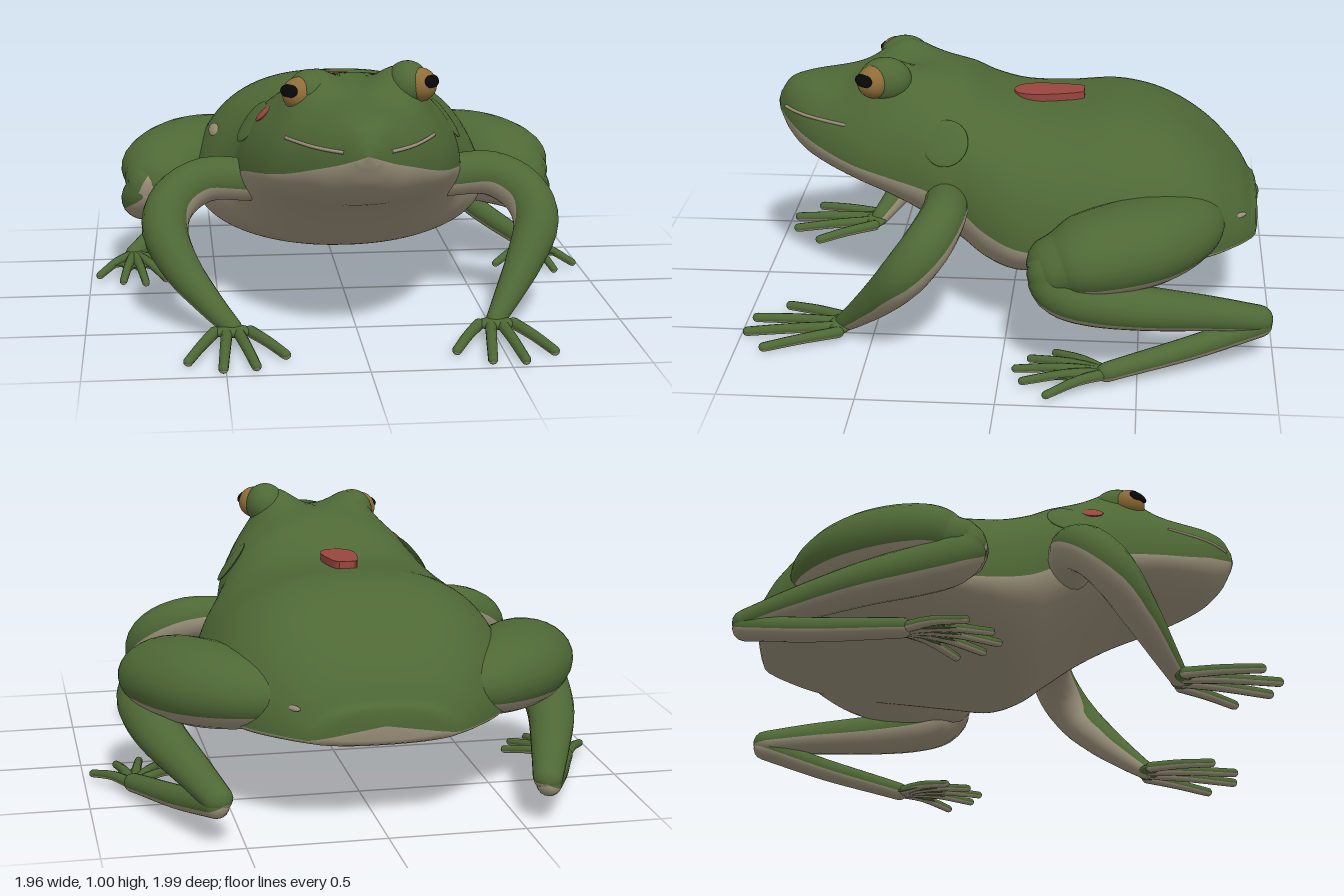
import * as THREE from 'three';

const mat = (name, color) => Object.assign(new THREE.MeshStandardMaterial({ color }), { name });
const green = mat('skin green', 0x4e6835);
const cream = mat('belly cream', 0x9c927b);
const red = mat('marking red', 0x98463d);
const gold = mat('iris gold', 0x8f6d38);
const black = mat('pupil black', 0x080808);
const V = (x, y, z) => new THREE.Vector3(x, y, z);
const curve = pts => new THREE.CatmullRomCurve3(pts, false, 'catmullrom', 0.5);

// Skin over closed rings; isCream(j) picks the colour of each column of faces
function loft(name, rings, isCream) {
  const n = rings[0].length, parts = [[], []];
  for (let i = 0; i < rings.length - 1; i++) {
    for (let j = 0; j < n; j++) {
      const k = (j + 1) % n, a = i * n + j, b = i * n + k, c = a + n, d = b + n;
      parts[isCream(j) ? 1 : 0].push(a, b, c, b, d, c);
    }
  }
  const g = new THREE.BufferGeometry().setFromPoints(rings.flat());
  g.setIndex([...parts[0], ...parts[1]]);
  g.addGroup(0, parts[0].length, 0);
  g.addGroup(parts[0].length, parts[1].length, 1);
  g.computeVertexNormals();
  const m = new THREE.Mesh(g, [green, cream]);
  m.name = name;
  return m;
}

// Tapered round-ended limb through [x, y, z, radius]; its cream side faces dir
function limb(name, pts, side, dir, { flat = 1, edge = 0.1, n = 20, steps = 24 } = {}) {
  const path = curve(pts.map(p => V(p[0] * side, p[1], p[2])));
  const radius = curve(pts.map(p => V(p[3], 0, 0)));
  const rings = [], down = V(dir[0] * side, dir[1], dir[2]);
  const ring = (t, cap) => {
    const T = path.getTangent(t), r = radius.getPoint(t).x;
    const d = down.clone().addScaledVector(T, -T.dot(down)).normalize();
    const s = T.clone().cross(d);
    const c = path.getPoint(t).addScaledVector(T, r * flat * Math.sin(cap)), q = r * Math.cos(cap);
    rings.push(Array.from({ length: n }, (_, j) => {
      const a = j / n * Math.PI * 2;
      return c.clone().addScaledVector(d, q * flat * Math.cos(a)).addScaledVector(s, q * Math.sin(a));
    }));
  };
  for (let k = 4; k > 0; k--) ring(0, -k / 4 * Math.PI / 2);
  for (let i = 0; i <= steps; i++) ring(i / steps, 0);
  for (let k = 1; k <= 4; k++) ring(1, k / 4 * Math.PI / 2);
  return loft(name, rings, j => Math.cos((j + 0.5) / n * Math.PI * 2) > edge);
}

function blob(name, material, pos, scale, facing) {
  const m = new THREE.Mesh(new THREE.SphereGeometry(1, 28, 18), material);
  m.name = name;
  m.position.copy(pos);
  m.scale.set(...scale);
  if (facing) m.lookAt(pos.clone().add(facing));
  return m;
}

// Body sections: z, half width, back height, colour line, belly height
const sections = [
  [0.91, 0.04, 0.79, 0.735, 0.71], [0.87, 0.1, 0.845, 0.71, 0.635], [0.8, 0.18, 0.868, 0.68, 0.57],
  [0.7, 0.255, 0.882, 0.645, 0.525], [0.58, 0.325, 0.895, 0.615, 0.485], [0.44, 0.375, 0.91, 0.59, 0.43],
  [0.3, 0.415, 0.925, 0.56, 0.35], [0.18, 0.44, 0.905, 0.5, 0.265], [0.08, 0.495, 0.85, 0.435, 0.205],
  [-0.04, 0.55, 0.805, 0.395, 0.182], [-0.2, 0.575, 0.798, 0.385, 0.215], [-0.4, 0.575, 0.812, 0.38, 0.25],
  [-0.58, 0.545, 0.772, 0.37, 0.275], [-0.74, 0.475, 0.68, 0.36, 0.3], [-0.86, 0.36, 0.565, 0.355, 0.312],
  [-0.92, 0.275, 0.47, 0.35, 0.318],
];
const widths = curve(sections.map(s => V(s[0], s[1], s[2])));
const heights = curve(sections.map(s => V(s[0], s[3], s[4])));
// The trunk is squarer across the back than the head
const squareness = z => THREE.MathUtils.lerp(0.76, 0.92, THREE.MathUtils.smoothstep(z, -0.1, 0.25));

// Point on the upper body at a given z and height
function onSkin(side, y, z) {
  let lo = 0, hi = 1;
  for (let i = 0; i < 30; i++) {
    const mid = (lo + hi) / 2;
    if (widths.getPoint(mid).x > z) lo = mid; else hi = mid;
  }
  const a = widths.getPoint(lo), b = heights.getPoint(lo);
  const s = Math.min(1, Math.max(0, (y - b.y) / (a.z - b.y)));
  return V(side * a.y * Math.pow(1 - s * s, squareness(z) / 2), y, z);
}

// Smooth swelling of the head under each eye
function browLift(x, z) {
  const dx = Math.abs(x) - 0.165, dz = z - (x > 0 ? 0.47 : 0.44);
  return (x > 0 ? 0.105 : 0.088) * Math.exp(-dx * dx / 0.0095 - dz * dz / 0.0125);
}

function makeBody() {
  const n = 96, steps = 120, rings = [];
  const ring = (t, z, k) => {
    const a = widths.getPoint(t), b = heights.getPoint(t), mid = (a.z + b.z) / 2;
    rings.push(Array.from({ length: n }, (_, j) => {
      const u = j / n * Math.PI * 2, c = Math.cos(u), s = Math.sin(u);
      const x = -a.y * Math.sign(c) * Math.pow(Math.abs(c), s > 0 ? squareness(a.x) : 0.92);
      const y = b.y + s * (s > 0 ? a.z - b.y : b.y - b.z) + Math.max(0, s) * browLift(x, a.x);
      return V(x * k, mid + (y - mid) * k, z ?? a.x);
    }));
  };
  ring(0, 0.922, 0);
  for (let i = 0; i <= steps; i++) ring(i / steps, null, 1);
  ring(1, -0.934, 0.9);
  ring(1, -0.942, 0.7);
  ring(1, -0.945, 0);
  return loft('body', rings, j => j >= n / 2);
}

function makeEye(side) {
  const g = new THREE.Group();
  g.name = 'eye';
  const [x, y, z] = side > 0 ? [0.229, 0.92, 0.514] : [-0.207, 0.888, 0.483];
  g.add(blob('brow', green, V(x - side * 0.04, y - 0.004, z - 0.04), [0.08, 0.085, 0.1]));
  const ball = new THREE.Group();
  ball.name = 'eyeball';
  ball.add(blob('iris', gold, V(0, 0, 0), [0.062, 0.062, 0.062]));
  ball.add(blob('pupil', black, V(0, 0, 0.053), [0.044, 0.025, 0.012]));
  ball.position.set(x, y, z);
  ball.lookAt(ball.position.clone().add(V(side * 0.75, 0.32, 0.6)));
  g.add(ball);
  return g;
}

function makeFrontLeg(side) {
  const g = new THREE.Group(), o = side > 0 ? 0.04 : 0;
  g.name = 'frontLeg';
  g.add(limb('arm', [
    [0.36, 0.51, 0.23, 0.08], [0.54, 0.515, 0.225, 0.085], [0.665, 0.45, 0.275, 0.09], [0.7, 0.35, 0.355, 0.086],
    [0.64, 0.23, 0.45, 0.07], [0.54 + o * 0.5, 0.12, 0.545, 0.05], [0.465 + o, 0.05, 0.61, 0.036],
  ], side, [-0.3, -0.9, -0.2]));
  g.add(blob('palm', green, V(side * (0.465 + o), 0.042, 0.625), [0.075, 0.022, 0.045]));
  // Four fingers: base x, tip x, tip z
  for (const [bx, tx, tz] of [[0.4, 0.285, 0.84], [0.445, 0.395, 0.95], [0.485, 0.51, 0.965], [0.53, 0.63, 0.88]]) {
    g.add(limb('finger', [
      [bx + o, 0.04, 0.625, 0.022], [(bx + tx) / 2 + o, 0.034, (0.625 + tz) / 2, 0.02], [tx + o, 0.02, tz + o / 4, 0.018],
    ], side, [0, -1, 0], { n: 10, steps: 6 }));
  }
  return g;
}

function makeHindLeg(side) {
  const g = new THREE.Group();
  g.name = 'hindLeg';
  g.add(limb('thigh', [
    [0.26, 0.45, -0.7, 0.12], [0.43, 0.452, -0.63, 0.175], [0.575, 0.452, -0.49, 0.205],
    [0.685, 0.445, -0.31, 0.19], [0.72, 0.42, -0.2, 0.14],
  ], side, [0, -1, 0], { flat: 0.75, edge: 0.35, n: 28 }));
  g.add(limb('shin', [
    [0.75, 0.41, -0.19, 0.1], [0.77, 0.345, -0.225, 0.102], [0.765, 0.305, -0.34, 0.1], [0.73, 0.265, -0.53, 0.088],
    [0.655, 0.215, -0.76, 0.07], [0.59, 0.168, -0.945, 0.054],
  ], side, [-0.2, -1, 0], { flat: 0.88, edge: 0.35 }));
  g.add(limb('ankle', [
    [0.595, 0.145, -0.945, 0.046], [0.7, 0.098, -0.7, 0.044], [0.8, 0.064, -0.46, 0.038], [0.83, 0.054, -0.39, 0.036],
  ], side, [0, -1, 0], { edge: 0.35 }));
  // Five toes joined by a web
  const toes = [[0.965, -0.18], [0.87, -0.09], [0.78, -0.06], [0.7, -0.11], [0.65, -0.2]];
  const web = new THREE.Shape().moveTo(0.82, 0.44);
  toes.forEach(([x, z], i) => {
    g.add(limb('toe', [
      [0.83, 0.05, -0.4, 0.022], [(0.83 + x) / 2, 0.052, (z - 0.4) / 2, 0.018], [x, 0.028, z, 0.015],
    ], side, [0, -1, 0], { n: 10, steps: 6 }));
    web.lineTo(0.83 + (x - 0.83) * 0.8, 0.4 - (z + 0.4) * 0.8);
    if (i < 4) {
      const [nx, nz] = toes[i + 1];
      web.lineTo(0.83 + ((x + nx) / 2 - 0.83) * 0.55, 0.4 - ((z + nz) / 2 + 0.4) * 0.55);
    }
  });
  const geo = new THREE.ExtrudeGeometry(web, { depth: 0.008, bevelEnabled: false });
  geo.rotateX(-Math.PI / 2);
  const m = new THREE.Mesh(geo, green);
  m.name = 'web';
  m.position.y = 0.04;
  if (side < 0) m.scale.x = -1;
  g.add(m);
  return g;
}

export function createModel() {
  const frog = new THREE.Group();
  frog.name = 'frog';
  frog.add(makeBody());
  for (const side of [1, -1]) {
    frog.add(makeEye(side), makeFrontLeg(side), makeHindLeg(side));
    frog.add(blob('eardrum', green, onSkin(side, 0.735, 0.23), [0.085, 0.09, 0.012], V(side * 0.8, 0.6, 0.12)));
    // Pale lip line
    const lip = curve([0.88, 0.84, 0.79, 0.74, 0.68, 0.62].map(z => onSkin(side, 0.757, z)));
    const mouth = new THREE.Mesh(new THREE.TubeGeometry(lip, 20, 0.007, 6), cream);
    mouth.name = 'lipLine';
    frog.add(mouth);
  }

  // Raised marking on the back
  const s = new THREE.Shape().moveTo(-0.03, 0.27).lineTo(0.03, 0.27);
  s.bezierCurveTo(0.05, 0.265, 0.07, 0.12, 0.065, 0.08).bezierCurveTo(0.06, 0.02, 0.03, 0, 0, 0);
  s.bezierCurveTo(-0.03, 0, -0.06, 0.02, -0.065, 0.08).bezierCurveTo(-0.07, 0.12, -0.05, 0.265, -0.03, 0.27);
  const geo = new THREE.ExtrudeGeometry(s, { depth: 0.028, bevelEnabled: false, curveSegments: 12 });
  geo.rotateX(-Math.PI / 2 + 0.03);
  const mark = new THREE.Mesh(geo, red);
  mark.name = 'backMarking';
  mark.position.y = 0.794;
  frog.add(mark);

  // Small spots: neck and flank on the right, hip on the left
  frog.add(blob('neckSpot', red, onSkin(-1, 0.785, 0.325), [0.042, 0.038, 0.009], V(-0.7, 0.7, 0)));
  frog.add(blob('flankSpot', cream, onSkin(-1, 0.615, -0.2), [0.08, 0.024, 0.009], V(-0.8, 0.6, 0.1)));
  frog.add(blob('hipSpot', cream, onSkin(1, 0.455, -0.87), [0.03, 0.01, 0.006], V(0.7, 0.3, -0.6)));
  return frog;
}
